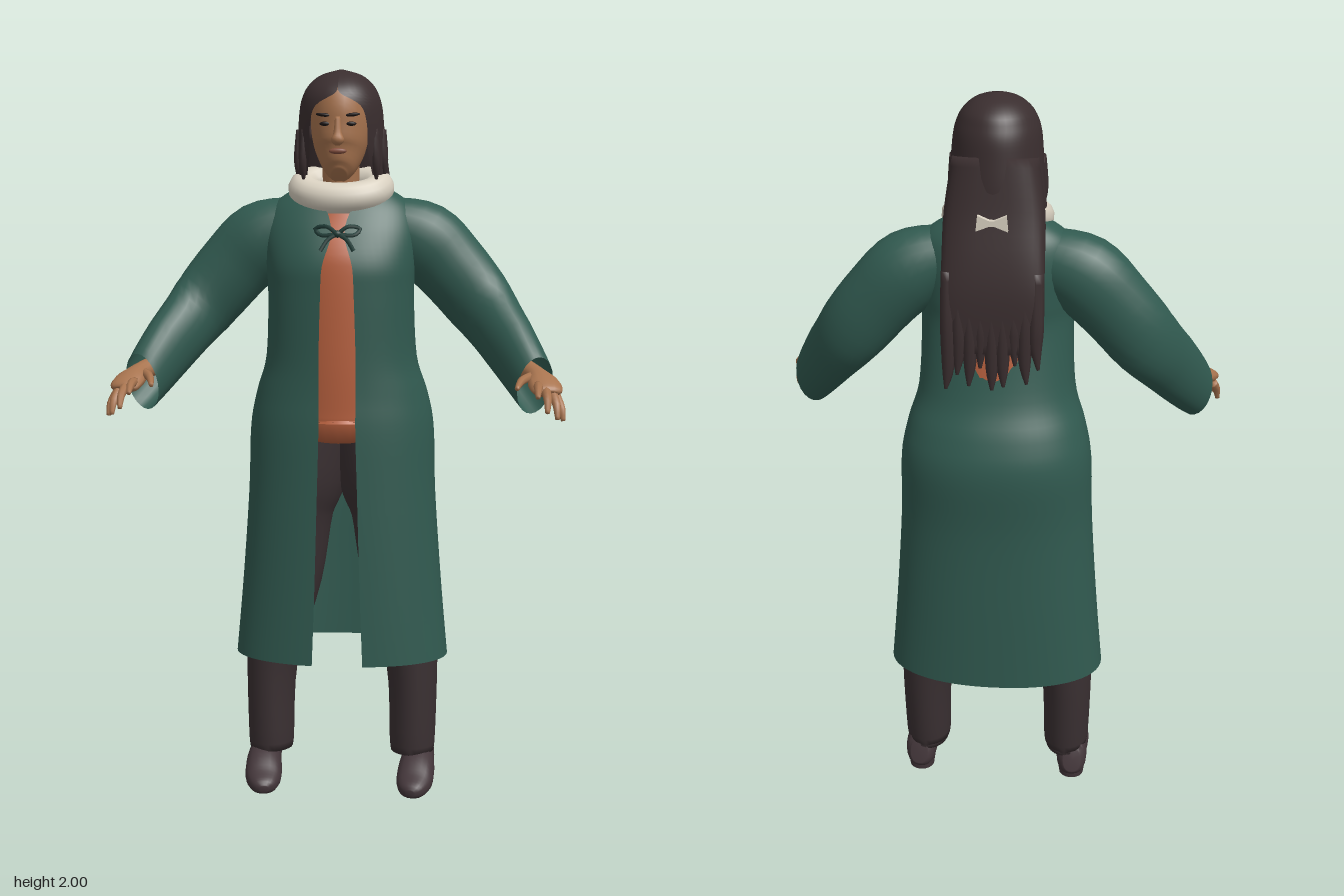
import * as THREE from 'three';

const mat = (name, color, side = THREE.FrontSide) => {
  const m = new THREE.MeshStandardMaterial({ color, side });
  m.name = name;
  return m;
};

// Catmull-Rom interpolation of every column of a list of cross-section rows
function smooth(rows, n) {
  const out = [];
  const at = (i) => rows[Math.min(Math.max(i, 0), rows.length - 1)];
  for (let i = 0; i < rows.length - 1; i++) {
    for (let k = 0; k < n; k++) {
      const t = k / n;
      out.push(rows[i].map((b, c) => {
        const a = at(i - 1)[c], d = at(i + 1)[c], e = at(i + 2)[c];
        return 0.5 * (2 * b + (d - a) * t + (2 * a - 5 * b + 4 * d - e) * t * t + (3 * b - a - 3 * d + e) * t * t * t);
      }));
    }
  }
  out.push(rows[rows.length - 1]);
  return out;
}

// Surface through rings of points; closed rings share their seam
function skinRings(rings, closed, caps) {
  const w = rings[0].length, pos = [], idx = [];
  rings.forEach((r) => r.forEach((p) => pos.push(p.x, p.y, p.z)));
  for (let i = 0; i < rings.length - 1; i++) {
    for (let j = 0; j < (closed ? w : w - 1); j++) {
      const a = i * w + j, b = i * w + (j + 1) % w, c = a + w, d = b + w;
      idx.push(a, b, c, b, d, c);
    }
  }
  if (caps) {
    [0, rings.length - 1].forEach((i) => {
      const c = new THREE.Vector3();
      rings[i].forEach((p) => c.addScaledVector(p, 1 / w));
      const n = pos.length / 3;
      pos.push(c.x, c.y, c.z);
      for (let j = 0; j < w; j++) {
        const a = i * w + j, b = i * w + (j + 1) % w;
        if (i) idx.push(n, a, b); else idx.push(n, b, a);
      }
    });
  }
  const g = new THREE.BufferGeometry();
  g.setAttribute('position', new THREE.Float32BufferAttribute(pos, 3));
  g.setIndex(idx);
  g.computeVertexNormals();
  return g;
}

const Y = new THREE.Vector3(0, 1, 0), Z = new THREE.Vector3(0, 0, 1);
const bend = (v, p) => Math.sign(v) * Math.abs(v) ** p;

// Oval limb along rows of [x, y, z, width radius, radius toward ref]
function limb(rows, { ref = Z, seg = 20, n = 4, p = 1, caps = true, endDir = null, s = 1 } = {}) {
  const r = smooth(rows.map(([x, ...rest]) => [x * s, ...rest]), n);
  const c = r.map((q) => new THREE.Vector3(q[0], q[1], q[2]));
  const rings = r.map((q, i) => {
    const t = c[Math.min(i + 1, c.length - 1)].clone().sub(c[Math.max(i - 1, 0)]).normalize();
    if (endDir && i > c.length - 1 - n) {
      const goal = new THREE.Vector3(endDir[0] * s, endDir[1], endDir[2]);
      t.lerp(goal, 1 - (c.length - 1 - i) / n).normalize();
    }
    const v = ref.clone().addScaledVector(t, -ref.dot(t)).normalize();
    const u = t.clone().cross(v);
    return Array.from({ length: seg }, (_, j) => {
      const a = (j / seg) * Math.PI * 2;
      return c[i].clone().addScaledVector(u, q[3] * bend(Math.sin(a), p)).addScaledVector(v, q[4] * bend(Math.cos(a), p));
    });
  });
  return skinRings(rings, true, caps);
}

// Shell open at the front: rows of [y, half width, front z, back z, half gap]
function openShell(rows, p, n = 5, seg = 56) {
  return skinRings(smooth(rows, n).map(([y, rx, zf, zb, gap]) => {
    const a0 = Math.asin(Math.min(1, Math.max(0, gap) / rx) ** (1 / p));
    return Array.from({ length: seg + 1 }, (_, j) => {
      const a = a0 + (j / seg) * (Math.PI - a0) * 2;
      return new THREE.Vector3(rx * bend(Math.sin(a), p), y, (zf + zb) / 2 + (zf - zb) / 2 * bend(Math.cos(a), p));
    });
  }), false, false);
}

const cord = (pts, r, closed = false) => new THREE.TubeGeometry(
  new THREE.CatmullRomCurve3(pts.map((p) => new THREE.Vector3(...p)), closed), closed ? 48 : 14, r, closed ? 14 : 6, closed);

export function createModel() {
  const root = new THREE.Group();
  root.name = 'figure';
  const coat = mat('coat green', 0x315a50, THREE.DoubleSide);
  const hair = mat('hair brown', 0x3a2e2f, THREE.DoubleSide);
  const skin = mat('skin', 0xa8744f);
  const shirt = mat('shirt rust', 0xb8613f);
  const pants = mat('trouser brown', 0x3a3032);
  const shoe = mat('shoe brown', 0x43363a);
  const cream = mat('cream', 0xd8d0c0);
  const dark = mat('eye dark', 0x1c1514);
  const lip = mat('lip', 0x85503f);
  const tie = mat('tie green', 0x1f3b36);
  const add = (name, geo, m) => {
    const mesh = new THREE.Mesh(geo, m);
    mesh.name = name;
    root.add(mesh);
    return mesh;
  };

  // Long open coat, shirt and neck
  add('coat', openShell([
    [0.38, 0.3, 0.1, -0.245, 0.07], [0.6, 0.28, 0.1, -0.25, 0.062], [0.85, 0.262, 0.1, -0.255, 0.055],
    [1.03, 0.256, 0.1, -0.27, 0.05], [1.13, 0.237, 0.095, -0.25, 0.05], [1.23, 0.208, 0.095, -0.212, 0.05],
    [1.4, 0.2, 0.1, -0.18, 0.045], [1.48, 0.205, 0.098, -0.18, 0.04], [1.56, 0.212, 0.07, -0.178, 0.018],
    [1.62, 0.2, 0.04, -0.17, 0.03], [1.66, 0.168, 0.015, -0.155, 0.06], [1.7, 0.1, -0.01, -0.13, 0.07],
  ], 0.92), coat);
  add('shirt', limb([
    [0, 1.05, -0.07, 0.17, 0.145], [0, 1.065, -0.07, 0.173, 0.152], [0, 1.08, -0.068, 0.17, 0.145],
    [0, 1.22, -0.06, 0.165, 0.145], [0, 1.42, -0.05, 0.165, 0.138], [0, 1.5, -0.055, 0.17, 0.135],
    [0, 1.58, -0.06, 0.155, 0.108], [0, 1.65, -0.055, 0.1, 0.078],
  ], { seg: 32 }), shirt);
  add('neck', limb([[0, 1.6, -0.055, 0.05, 0.05], [0, 1.78, -0.03, 0.05, 0.05]]), skin);

  // Thick round scarf, lower at the front
  add('scarf', cord(Array.from({ length: 12 }, (_, i) => {
    const a = (i / 12) * Math.PI * 2;
    return [0.102 * Math.sin(a), 1.685 - 0.028 * Math.cos(a), -0.043 + 0.058 * Math.cos(a)];
  }), 0.043, true), cream);

  // Head and face
  add('head', limb([
    [0, 1.718, 0.025, 0.02, 0.028], [0, 1.735, 0.012, 0.042, 0.052], [0, 1.78, -0.01, 0.066, 0.08],
    [0, 1.83, -0.02, 0.078, 0.092], [0, 1.88, -0.03, 0.081, 0.104], [0, 1.93, -0.042, 0.08, 0.1],
    [0, 1.965, -0.045, 0.058, 0.07], [0, 1.98, -0.045, 0.02, 0.03],
  ], { seg: 28 }), skin);
  add('nose', limb([
    [0, 1.798, 0.07, 0.008, 0.006], [0, 1.81, 0.073, 0.018, 0.018], [0, 1.83, 0.07, 0.011, 0.014],
    [0, 1.87, 0.065, 0.008, 0.01],
  ], { seg: 12 }), skin);
  const blob = (name, m, p, sc) => {
    const mesh = add(name, new THREE.SphereGeometry(1, 14, 8), m);
    mesh.position.set(...p);
    mesh.scale.set(...sc);
    return mesh;
  };
  blob('lips', lip, [0, 1.782, 0.067], [0.024, 0.008, 0.008]);

  // Hair: cap framing the face, back curtain and ragged locks
  add('hairCap', openShell([
    [1.72, 0.127, 0.03, -0.18, 0.088], [1.78, 0.121, 0.062, -0.18, 0.078], [1.85, 0.116, 0.078, -0.175, 0.076],
    [1.9, 0.111, 0.082, -0.17, 0.06], [1.932, 0.102, 0.075, -0.16, 0.006], [1.96, 0.086, 0.052, -0.145, 0],
    [1.985, 0.055, 0.012, -0.108, 0], [2.0, 0.005, -0.043, -0.053, 0],
  ], 1, 4, 40), hair);
  add('hairBack', limb([
    [0, 1.37, -0.203, 0.118, 0.016], [0, 1.5, -0.197, 0.13, 0.025], [0, 1.6, -0.175, 0.13, 0.036],
    [0, 1.72, -0.13, 0.127, 0.058], [0, 1.85, -0.1, 0.108, 0.07],
  ], { p: 0.7, seg: 32 }), hair);
  const tips = [1.33, 1.29, 1.34, 1.28, 1.27, 1.33, 1.28, 1.31, 1.27];
  tips.forEach((y, i) => {
    const x = (i - 4) * 0.028;
    add('hairLock', limb([
      [x * 1.06, y, -0.214, 0.004, 0.003], [x, y + 0.06, -0.21, 0.016, 0.012], [x, 1.45, -0.205, 0.02, 0.018],
      [x, 1.58, -0.19, 0.018, 0.018],
    ], { seg: 8 }), hair);
  });
  const bow = new THREE.Shape([[-0.04, -0.02], [-0.006, -0.007], [0.006, -0.007], [0.04, -0.02],
    [0.036, 0.02], [0.006, 0.007], [-0.006, 0.007], [-0.036, 0.02]].map((p) => new THREE.Vector2(...p)));
  add('hairClip', new THREE.ExtrudeGeometry(bow, { depth: 0.014, bevelEnabled: false }), cream).position.set(0, 1.71, -0.206);

  for (const s of [1, -1]) {
    const side = s > 0 ? 'left' : 'right';
    const part = (name, rows, m, o) => add(side + name, limb(rows, { ...o, s }), m);

    // Eyes, brows and locks beside the face
    blob(side + 'Eye', dark, [s * 0.033, 1.853, 0.06], [0.016, 0.006, 0.008]);
    blob(side + 'Brow', dark, [s * 0.036, 1.876, 0.062], [0.023, 0.005, 0.008]).rotation.z = s * 0.1;
    [[0.098, 0.0, 1.705], [0.116, -0.04, 1.71]].forEach(([x, z, y]) => part('FaceLock', [
      [x, y, z, 0.003, 0.003], [x, y + 0.05, z + 0.004, 0.012, 0.02], [x * 0.95, 1.84, z, 0.012, 0.02],
    ], hair, { seg: 8 }));

    // Sleeve with a deep open cuff
    part('Sleeve', [
      [0.12, 1.585, -0.07, 0.07, 0.08], [0.22, 1.545, -0.078, 0.086, 0.106], [0.3, 1.47, -0.08, 0.08, 0.102],
      [0.39, 1.362, -0.063, 0.073, 0.096], [0.46, 1.268, 0.01, 0.064, 0.088], [0.528, 1.168, 0.1, 0.053, 0.08],
    ], coat, { ref: Y, seg: 24, caps: false, endDir: [0.45, -0.25, 0.85] });

    // Hand with spread fingers
    part('Palm', [
      [0.5, 1.21, 0.055, 0.026, 0.026], [0.53, 1.195, 0.11, 0.028, 0.026], [0.548, 1.18, 0.155, 0.043, 0.024],
      [0.557, 1.165, 0.195, 0.04, 0.017], [0.559, 1.16, 0.204, 0.025, 0.008],
    ], skin, { ref: Y, seg: 14 });
    [
      [[0.515, 1.195, 0.13], [0.49, 1.19, 0.185], [0.477, 1.175, 0.232]],
      [[0.533, 1.178, 0.185], [0.532, 1.175, 0.23], [0.53, 1.157, 0.265]],
      [[0.552, 1.17, 0.19], [0.556, 1.15, 0.235], [0.555, 1.118, 0.264]],
      [[0.57, 1.16, 0.187], [0.58, 1.132, 0.22], [0.582, 1.098, 0.238]],
      [[0.58, 1.15, 0.172], [0.593, 1.12, 0.197], [0.598, 1.09, 0.207]],
    ].forEach((f, i) => part(i ? 'Finger' : 'Thumb', f.map((p, k) => [...p, [0.013, 0.011, 0.006][k], [0.013, 0.011, 0.006][k]]),
      skin, { ref: Y, seg: 8 }));

    // Trouser leg and heeled shoe
    part('TrouserLeg', [
      [0.203, 0.1, -0.064, 0.055, 0.068], [0.203, 0.115, -0.064, 0.064, 0.077], [0.2, 0.35, -0.073, 0.073, 0.092],
      [0.165, 0.6, -0.075, 0.108, 0.11], [0.14, 0.8, -0.08, 0.116, 0.135], [0.105, 0.9, -0.085, 0.118, 0.145],
      [0.09, 1.07, -0.08, 0.12, 0.145],
    ], pants, { seg: 24 });
    part('Shoe', [
      [0.225, 0.065, -0.135, 0.025, 0.035], [0.223, 0.062, -0.115, 0.042, 0.055], [0.221, 0.066, -0.06, 0.045, 0.054],
      [0.218, 0.053, 0, 0.051, 0.048], [0.213, 0.034, 0.05, 0.05, 0.034], [0.207, 0.024, 0.09, 0.034, 0.023],
      [0.204, 0.021, 0.105, 0.012, 0.01],
    ], shoe, { ref: Y, p: 0.85 });
    add(side + 'Heel', new THREE.CylinderGeometry(0.04, 0.035, 0.035, 16), shoe).position.set(s * 0.222, 0.0175, -0.095);

    // Half of the tied cord at the collar
    add(side + 'TieLoop', cord([[0, 1.565, 0.08], [s * 0.03, 1.585, 0.078], [s * 0.06, 1.578, 0.068],
      [s * 0.045, 1.562, 0.076], [0, 1.565, 0.08]], 0.006), tie);
    add(side + 'TieTail', cord([[0, 1.565, 0.08], [s * 0.025, 1.55, 0.086], [s * 0.045, 1.52, 0.094]], 0.006), tie);
  }
  blob('tieKnot', tie, [0, 1.565, 0.08], [0.012, 0.01, 0.01]);
  return root;
}
